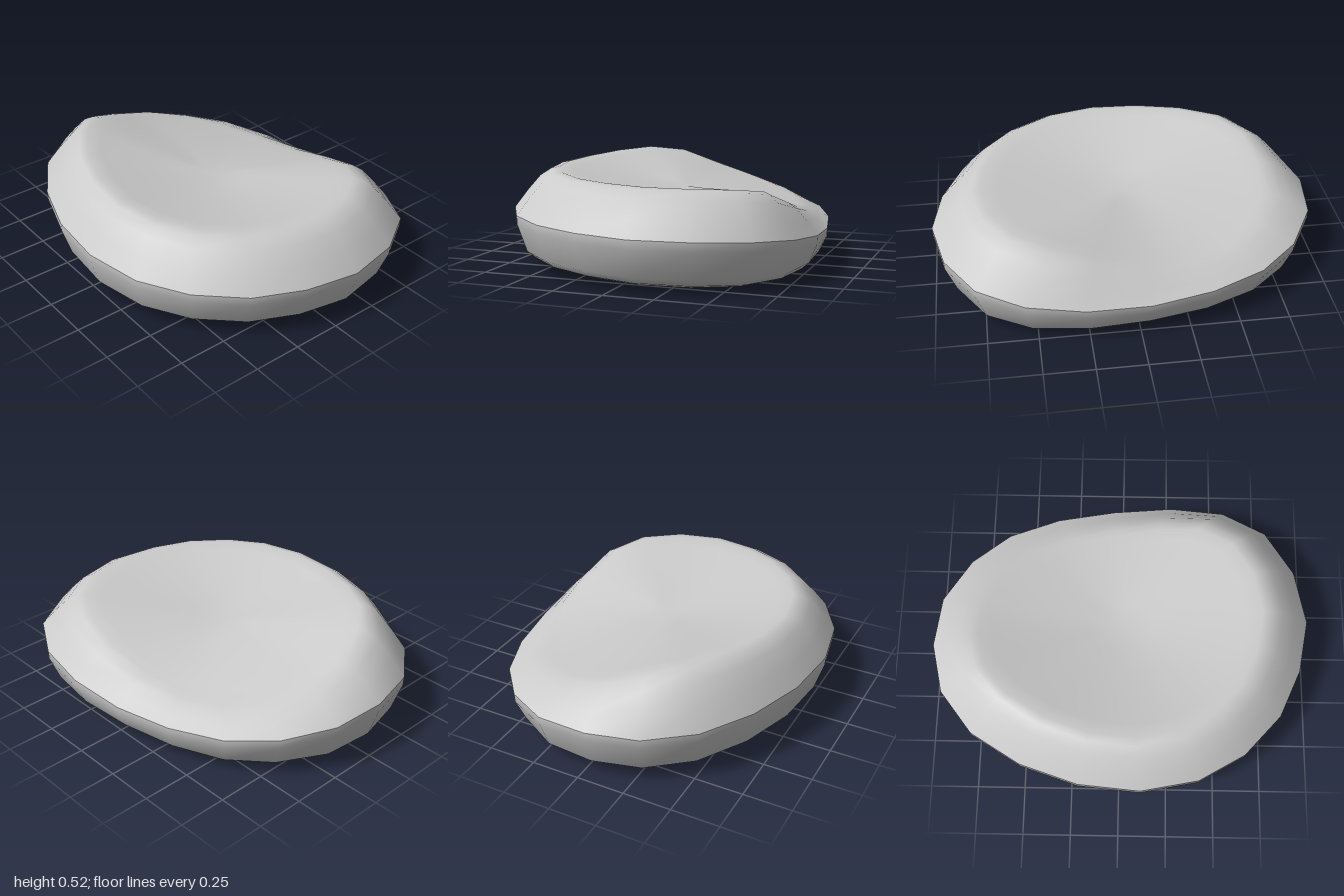
import * as THREE from 'three';

// Outline stations around the stone: x, z, height of the top rim, height of the waist edge
const STATIONS = [
  [-0.05, -1.0, 0.43, 0.285], [0.22, -0.97, 0.365, 0.265], [0.46, -0.83, 0.32, 0.235],
  [0.63, -0.63, 0.285, 0.215], [0.74, -0.36, 0.275, 0.2], [0.8, -0.05, 0.3, 0.19],
  [0.82, 0.27, 0.36, 0.205], [0.78, 0.56, 0.43, 0.23], [0.65, 0.79, 0.455, 0.25],
  [0.41, 0.94, 0.465, 0.26], [0.12, 1.0, 0.47, 0.265], [-0.16, 0.95, 0.475, 0.27],
  [-0.41, 0.84, 0.48, 0.275], [-0.62, 0.65, 0.487, 0.28], [-0.76, 0.41, 0.495, 0.285],
  [-0.82, 0.11, 0.502, 0.29], [-0.79, -0.21, 0.51, 0.29], [-0.69, -0.51, 0.522, 0.29],
  [-0.53, -0.77, 0.53, 0.29], [-0.31, -0.94, 0.505, 0.29],
];
const N = STATIONS.length;
const DISH = 0.38; // height at the middle of the hollow top
const base = (x) => 0.017 - 0.023 * x; // slightly tilted underside

// Dished top inside the rim
const dish = (s) => (x, rim) => DISH + (rim - DISH) * Math.pow(s / 0.75, 1.3);

// Rings: [scale of the outline, height rule]
const UPPER = [
  [1, (x, rim, waist) => waist],
  [0.925, (x, rim, waist) => waist + (rim - waist) * 0.42],
  [0.85, (x, rim, waist) => waist + (rim - waist) * 0.79],
  [0.79, (x, rim, waist) => waist + (rim - waist) * 0.95],
  ...[0.74, 0.66, 0.5, 0.33, 0.17].map((s) => [s, dish(s)]),
];
const LOWER = [
  [0.72, (x) => base(x)],
  [0.82, (x) => base(x) + 0.007],
  [0.9, (x) => base(x) + 0.032],
  [0.945, (x) => base(x) + 0.065],
  [0.998, (x, rim, waist) => waist - 0.045],
  [1, (x, rim, waist) => waist],
];

// Skin stacked rings and close one end with a fan to a middle point
function shell(name, rings, capRing, capY) {
  const pos = [], index = [];
  for (const [s, height] of rings) {
    for (const [px, pz, rim, waist] of STATIONS) {
      const x = px * s + (1 - s) * 0.04;
      pos.push(x, height(x, rim, waist), pz * s);
    }
  }
  for (let r = 0; r < rings.length - 1; r++) {
    for (let i = 0; i < N; i++) {
      const a = r * N + i, b = r * N + (i + 1) % N;
      index.push(a, a + N, b, b, a + N, b + N);
    }
  }
  const middle = pos.length / 3;
  pos.push(0.04, capY, 0);
  for (let i = 0; i < N; i++) {
    const a = capRing * N + i, b = capRing * N + (i + 1) % N;
    if (capRing === 0) index.push(a, b, middle);
    else index.push(b, a, middle);
  }
  const g = new THREE.BufferGeometry();
  g.setAttribute('position', new THREE.Float32BufferAttribute(pos, 3));
  g.setIndex(index);
  g.computeVertexNormals();
  const mesh = new THREE.Mesh(g, new THREE.MeshStandardMaterial({ color: 0xcccccc, side: THREE.DoubleSide }));
  mesh.name = name;
  return mesh;
}

export function createModel() {
  const stone = new THREE.Group();
  stone.name = 'stone';
  // Separate shells keep the waist edge crisp while each half stays smooth
  stone.add(shell('upperStone', UPPER, UPPER.length - 1, DISH));
  stone.add(shell('lowerStone', LOWER, 0, base(0.04)));
  return stone;
}
